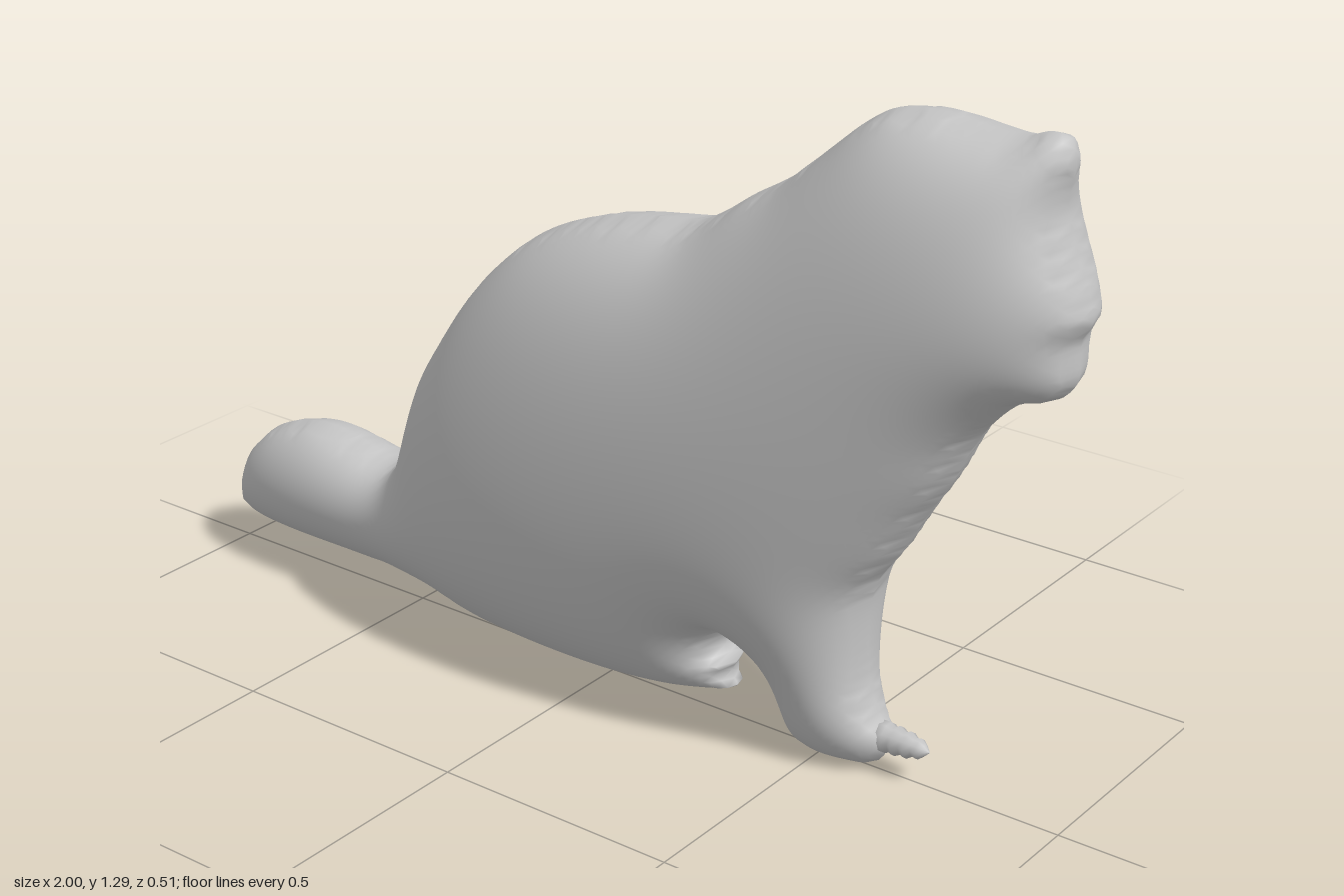
import * as THREE from 'three';

const STEP = 0.0125, NX = 166, NY = 108, X0 = -1.03, Y0 = -0.02;

// Side outline of the sitting animal, clockwise from the tail tip
const OUTLINE = [
  [-1, .09], [-.99, .15], [-.96, .22], [-.9, .28], [-.84, .31], [-.75, .33], [-.66, .32], [-.56, .3],
  [-.525, .315], [-.5, .35], [-.48, .42], [-.44, .54], [-.38, .64], [-.32, .73], [-.25, .81], [-.18, .87],
  [-.1, .915], [0, .95], [.1, .97], [.2, .985], [.25, 1.01], [.32, 1.06], [.4, 1.11], [.48, 1.18],
  [.55, 1.24], [.61, 1.275], [.7, 1.285], [.8, 1.275], [.86, 1.275], [.9, 1.29], [.935, 1.285], [.95, 1.25],
  [.94, 1.17], [.96, 1.1], [.985, 1.04], [1, .98], [.98, .94], [.98, .87], [.95, .83], [.88, .805],
  [.8, .72], [.75, .62], [.7, .54], [.65, .45], [.6, .37], [.59, .25], [.6, .16], [.62, .11],
  [.645, .07], [.62, .015], [.57, .003], [.5, 0], [.44, .02], [.42, .06], [.4, .13], [.37, .18],
  [.32, .215], [.28, .18], [.27, .14], [.3, .125], [.285, .09], [.3, .065], [.22, .045], [.1, .035],
  [-.15, .035], [-.3, .045], [-.4, .07], [-.9, .07], [-.98, .08],
];

// Nearest outline point, distance and inside test
function locate(x, y, loop) {
  let best = Infinity, px = 0, py = 0, inside = false;
  for (let i = 0, j = loop.length - 1; i < loop.length; j = i++) {
    const a = loop[j], b = loop[i], dx = b.x - a.x, dy = b.y - a.y;
    const t = THREE.MathUtils.clamp(((x - a.x) * dx + (y - a.y) * dy) / (dx * dx + dy * dy || 1), 0, 1);
    const qx = a.x + t * dx, qy = a.y + t * dy, d = Math.hypot(x - qx, y - qy);
    if (d < best) { best = d; px = qx; py = qy; }
    if ((a.y > y) !== (b.y > y) && x < a.x + (y - a.y) * dx / dy) inside = !inside;
  }
  return { px, py, d: best, inside: inside && best > 0.3 * STEP };
}

// Puffs the outline into a rounded solid: wide regions swell more than narrow ones
function inflate(outline, maxHalfWidth) {
  const curve = new THREE.CatmullRomCurve3(outline.map(([x, y]) => new THREE.Vector3(x, y, 0)), true);
  const loop = curve.getPoints(276).slice(0, -1);
  const nodes = [];
  for (let j = 0; j < NY; j++) for (let i = 0; i < NX; i++) {
    const x = X0 + i * STEP, y = Y0 + j * STEP;
    nodes.push({ x, y, ...locate(x, y, loop) });
  }

  // Relax a membrane that is pinned along the outline
  const u = new Float64Array(NX * NY), damp = 20 * STEP * STEP;
  const ring = [1, -1, NX, -NX, NX + 1, NX - 1, -NX + 1, -NX - 1];
  const active = nodes.map((_, k) => k).filter((k) => nodes[k].inside);
  for (let pass = 0; pass < 500; pass++) {
    for (const k of active) {
      const n = nodes[k];
      if (n.d < 1.5 * STEP) {
        let sum = 0, count = 0;
        for (const o of ring) {
          const m = nodes[k + o];
          if (m.inside && m.d > n.d) { sum += u[k + o] / m.d; count++; }
        }
        u[k] = n.d * (count ? sum / count : 0.03);
      } else {
        const next = (u[k + 1] + u[k - 1] + u[k + NX] + u[k - NX] + STEP * STEP) / (4 + damp);
        u[k] = Math.max(0, u[k] + 1.8 * (next - u[k]));
      }
    }
  }
  const peak = Math.sqrt(active.reduce((m, k) => Math.max(m, u[k]), 0));

  // Mirrored near and far skins share their rim vertices
  const pos = [], index = [], ids = new Map();
  const vertex = (k, side) => {
    const n = nodes[k], key = n.inside ? k * side : 'rim' + k;
    if (!ids.has(key)) {
      ids.set(key, pos.length / 3);
      if (n.inside) pos.push(n.x, n.y, side * maxHalfWidth * Math.sqrt(u[k]) / peak);
      else pos.push(n.px, n.py, 0);
    }
    return ids.get(key);
  };
  const tri = (a, b, c) => {
    if (!(nodes[a].inside || nodes[b].inside || nodes[c].inside)) return;
    index.push(vertex(a, 1), vertex(b, 1), vertex(c, 1));
    index.push(vertex(a, -1), vertex(c, -1), vertex(b, -1));
  };
  for (let j = 0; j < NY - 1; j++) for (let i = 0; i < NX - 1; i++) {
    const a = j * NX + i, b = a + 1, c = b + NX, d = a + NX;
    if ((i + j) % 2) { tri(a, b, c); tri(a, c, d); } else { tri(a, b, d); tri(b, c, d); }
  }
  const geo = new THREE.BufferGeometry();
  geo.setAttribute('position', new THREE.Float32BufferAttribute(pos, 3));
  geo.setIndex(index);
  geo.computeVertexNormals();
  return geo;
}

export function createModel() {
  const grey = new THREE.MeshStandardMaterial({ color: 0xc4c4c4 });
  grey.name = 'pale grey';
  const model = new THREE.Group();
  model.name = 'sittingAnimal';

  // Tail, torso, head and front leg in one smooth skin
  const body = new THREE.Mesh(inflate(OUTLINE, 0.254), grey);
  body.name = 'body';
  model.add(body);

  // Ridged toe at the front of the paw
  const profile = [[0, 0], [.03, .01], [.03, .04], [.024, .05], [.029, .06], [.022, .073],
    [.026, .085], [.018, .097], [.02, .108], [.012, .118], [0, .13]];
  const toe = new THREE.Mesh(new THREE.LatheGeometry(profile.map(([r, h]) => new THREE.Vector2(r, h)), 10), grey);
  toe.name = 'toe';
  toe.rotation.z = -Math.PI / 2;
  toe.position.set(0.6, 0.07, 0);
  model.add(toe);

  return model;
}
